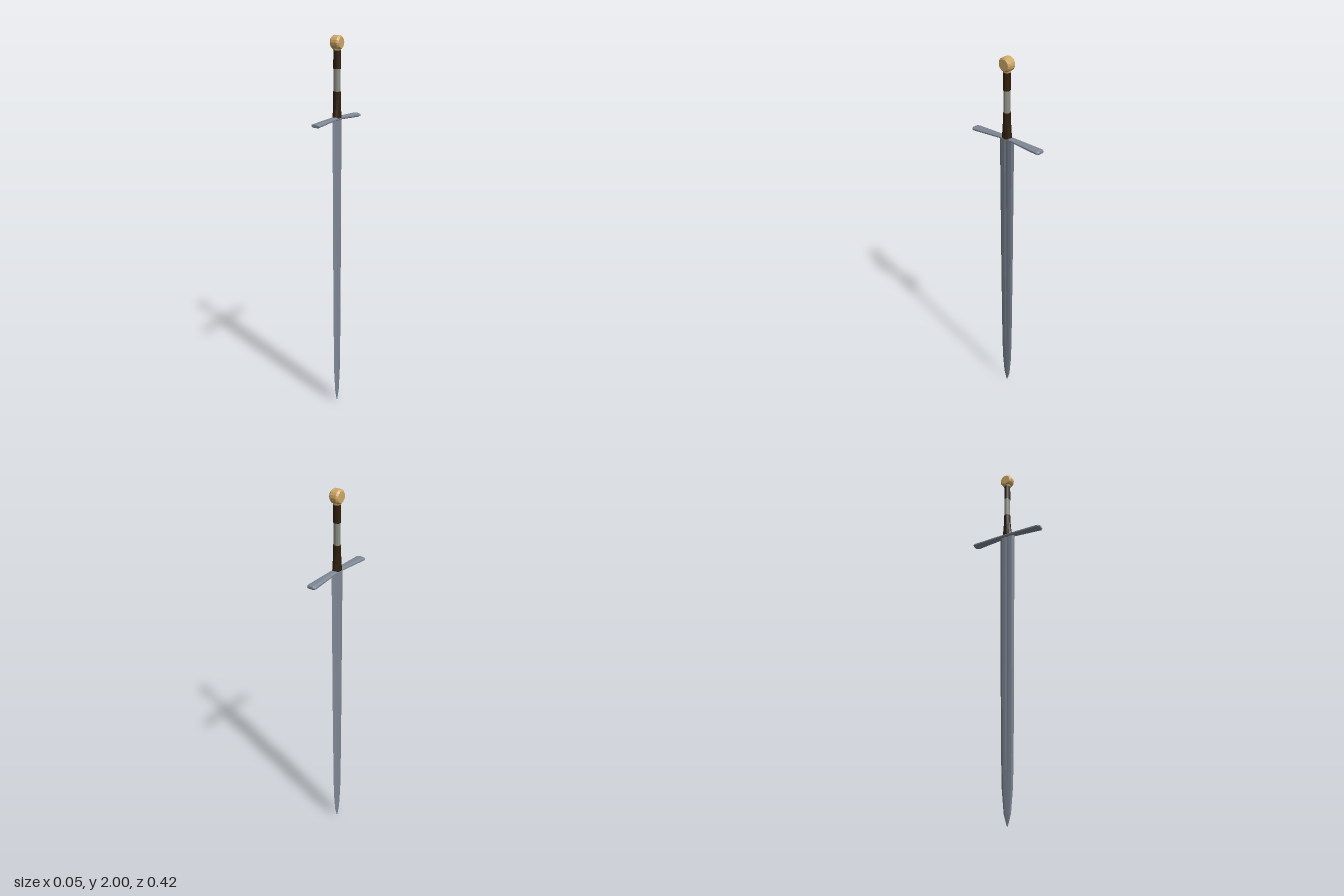
import * as THREE from 'three';

// Closed, faceted solid through equal-sized rings (counter-clockwise about the travel axis)
function loft(rings) {
  const pos = [];
  const tri = (...pts) => pts.forEach(p => pos.push(...p));
  const n = rings[0].length;
  const centre = r => [0, 1, 2].map(k => r.reduce((s, p) => s + p[k], 0) / n);
  const first = rings[0], last = rings[rings.length - 1];
  const c0 = centre(first), c1 = centre(last);
  for (let j = 0; j < n; j++) {
    const k = (j + 1) % n;
    for (let i = 0; i < rings.length - 1; i++) {
      const a = rings[i], b = rings[i + 1];
      tri(a[j], a[k], b[k]);
      tri(a[j], b[k], b[j]);
    }
    tri(c0, first[k], first[j]);
    tri(c1, last[j], last[k]);
  }
  const g = new THREE.BufferGeometry();
  g.setAttribute('position', new THREE.Float32BufferAttribute(pos, 3));
  g.computeVertexNormals();
  return g;
}

export function createModel() {
  const group = new THREE.Group();
  const material = (name, color) => {
    const m = new THREE.MeshStandardMaterial({ color });
    m.name = name;
    return m;
  };
  const steel = material('steel', 0x7f8896);
  const leather = material('dark leather', 0x2e1e0c);
  const wire = material('grey wire', 0x8c8d82);
  const brass = material('brass', 0xcfa866);
  const add = (name, geometry, mat) => {
    const mesh = new THREE.Mesh(geometry, mat);
    mesh.name = name;
    group.add(mesh);
  };

  // Blade: y, half width, half thickness, fuller depth
  const bladeRings = [
    [0, 0.002, 0.001, 0], [0.02, 0.009, 0.002, 0], [0.06, 0.02, 0.004, 0],
    [0.18, 0.031, 0.005, 0], [0.33, 0.035, 0.006, 0.001],
    [0.8, 0.04, 0.007, 0.002], [1.595, 0.045, 0.008, 0.002],
  ].map(([y, w, t, f]) => [
    [0, w], [t * 0.8, w * 0.7], [t, w * 0.25], [t - f, 0],
    [t, -w * 0.25], [t * 0.8, -w * 0.7], [0, -w], [-t * 0.8, -w * 0.7],
    [-t, -w * 0.25], [f - t, 0], [-t, w * 0.25], [-t * 0.8, w * 0.7],
  ].map(([x, z]) => [x, y, z]));
  add('blade', loft(bladeRings), steel);

  // Crossguard: z, centre height, half width, half height
  const half = [[0.035, 1.596, 0.018, 0.008], [0.2, 1.588, 0.025, 0.01], [0.21, 1.588, 0.019, 0.006]];
  const guardRings = [...half.map(([z, ...r]) => [-z, ...r]).reverse(), ...half]
    .map(([z, y, w, h]) => [
      [w, -h * 0.4], [w, h * 0.4], [w * 0.52, h], [-w * 0.52, h],
      [-w, h * 0.4], [-w, -h * 0.4], [-w * 0.52, -h], [w * 0.52, -h],
    ].map(([dx, dy]) => [dx, y + dy, z]));
  add('crossguard', loft(guardRings), steel);

  // Grip sections: y, half width in x, half width in z
  const grip = (rows) => loft(rows.map(([y, rx, rz]) => Array.from({ length: 12 }, (_, i) => {
    const a = (i + 0.5) * Math.PI / 6;
    return [Math.sin(a) * rx, y, Math.cos(a) * rz];
  })));
  add('lowerGrip', grip([[1.6, 0.021, 0.028], [1.64, 0.02, 0.023], [1.69, 0.02, 0.018], [1.73, 0.02, 0.017]]), leather);
  add('wireGrip', grip([[1.73, 0.018, 0.016], [1.84, 0.018, 0.015]]), wire);
  add('upperGrip', grip([[1.84, 0.02, 0.017], [1.94, 0.019, 0.016]]), leather);

  // Disc pommel with bevelled rims, lying across x
  const profile = [[0, -0.025], [0.027, -0.025], [0.035, -0.016], [0.035, 0.016], [0.027, 0.025], [0, 0.025]]
    .map(([r, y]) => new THREE.Vector2(r, y));
  const pommel = new THREE.LatheGeometry(profile, 16).toNonIndexed();
  pommel.computeVertexNormals();
  pommel.rotateZ(Math.PI / 2).translate(0, 1.965, 0);
  add('pommel', pommel, brass);

  // Small collar under the pommel
  const collar = new THREE.CylinderGeometry(0.021, 0.019, 0.015, 12).toNonIndexed();
  collar.computeVertexNormals();
  collar.translate(0, 1.935, 0);
  add('pommelCollar', collar, brass);

  return group;
}
